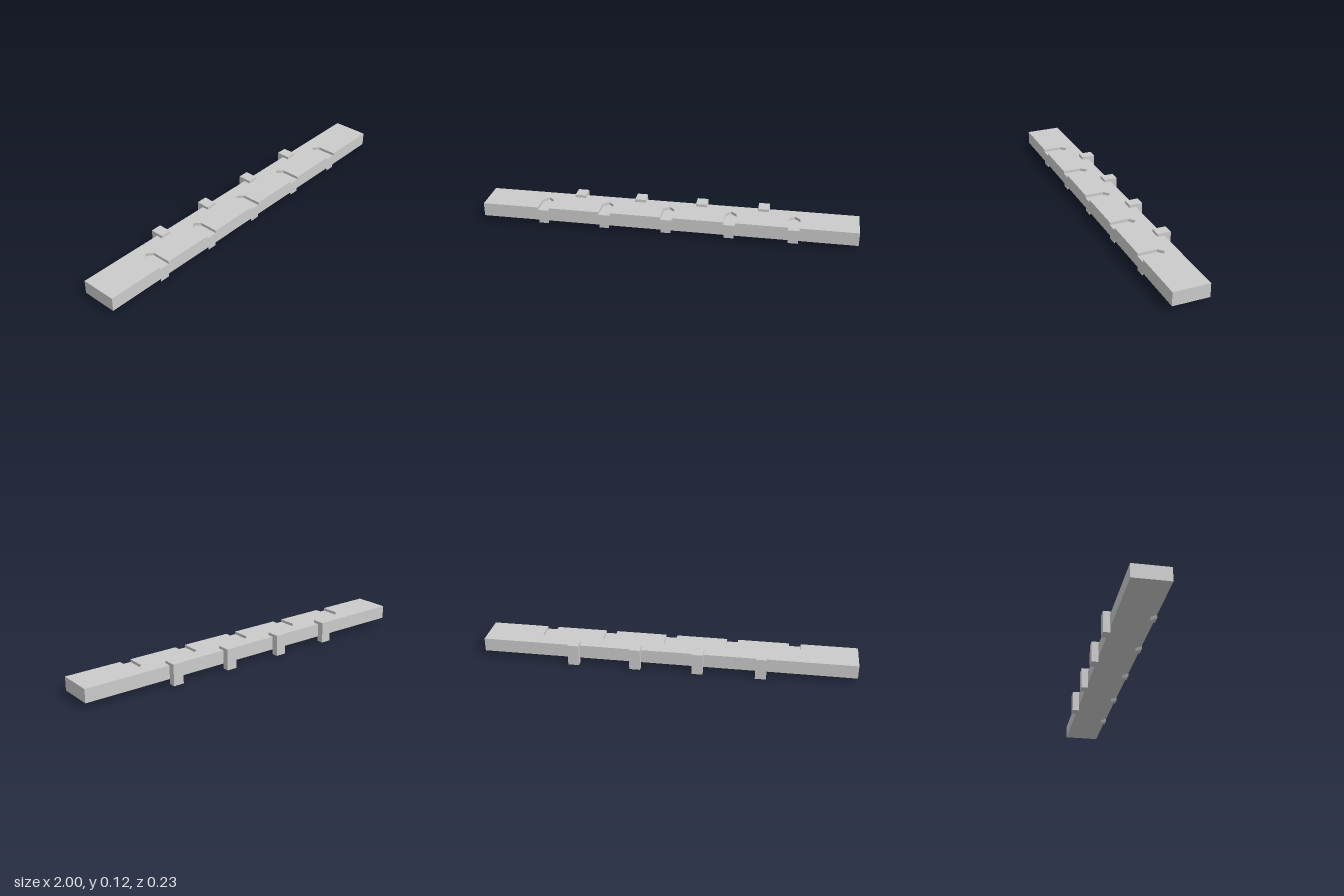
import * as THREE from 'three';

const material = new THREE.MeshStandardMaterial({ color: 0xcccccc, flatShading: true });

// Bar limits and the levels of its layers
const BACK = -0.078, FRONT = 0.114;
const BOTTOM = 0.027, SLOT_FLOOR = 0.085, TOP = 0.1;
const slotCentres = [-2 / 3, -1 / 3, 0, 1 / 3, 2 / 3];
const clipCentres = [-0.5, -1 / 6, 1 / 6, 0.5];

function add(parent, name, geometry) {
  const mesh = new THREE.Mesh(geometry, material);
  mesh.name = name;
  parent.add(mesh);
  return mesh;
}

// Upright prism from a plan outline of [x, z] points
function prism(points, y0, y1) {
  const shape = new THREE.Shape(points.map(([x, z]) => new THREE.Vector2(x, -z)));
  return new THREE.ExtrudeGeometry(shape, { depth: y1 - y0, bevelEnabled: false })
    .rotateX(-Math.PI / 2)
    .translate(0, y0, 0);
}

export function createModel() {
  const model = new THREE.Group();
  model.name = 'slottedRail';

  // Solid lower body, whose top is the floor of the slots
  add(model, 'railBody', new THREE.BoxGeometry(2, SLOT_FLOOR - BOTTOM, FRONT - BACK))
    .position.set(0, (BOTTOM + SLOT_FLOOR) / 2, (FRONT + BACK) / 2);

  // Upper layer with pointed slots cut in from the front edge
  const outline = [[-1, FRONT]];
  for (const x of slotCentres) {
    outline.push([x - 0.03, FRONT], [x - 0.03, 0.013], [x, -0.015], [x + 0.03, 0.013], [x + 0.03, FRONT]);
  }
  outline.push([1, FRONT], [1, BACK], [-1, BACK]);
  add(model, 'slottedTop', prism(outline, SLOT_FLOOR, TOP));

  // Triangular lugs under the front edge, one below each slot
  for (const x of slotCentres) {
    const lug = [[-0.027, FRONT], [0.027, FRONT], [0, 0.088]];
    add(model, 'lug', prism(lug, 0.01, BOTTOM)).position.x = x;
  }

  // Hooked clips on the back: L profile in z and y, extruded along x
  const hook = new THREE.Shape([
    [-0.114, 0], [BACK, 0], [BACK, TOP], [-0.042, TOP], [-0.042, 0.115], [-0.114, 0.115],
  ].map(([z, y]) => new THREE.Vector2(-z, y)));
  const clip = new THREE.ExtrudeGeometry(hook, { depth: 0.058, bevelEnabled: false })
    .translate(0, 0, -0.029)
    .rotateY(Math.PI / 2);
  for (const x of clipCentres) add(model, 'backClip', clip).position.x = x;

  return model;
}
